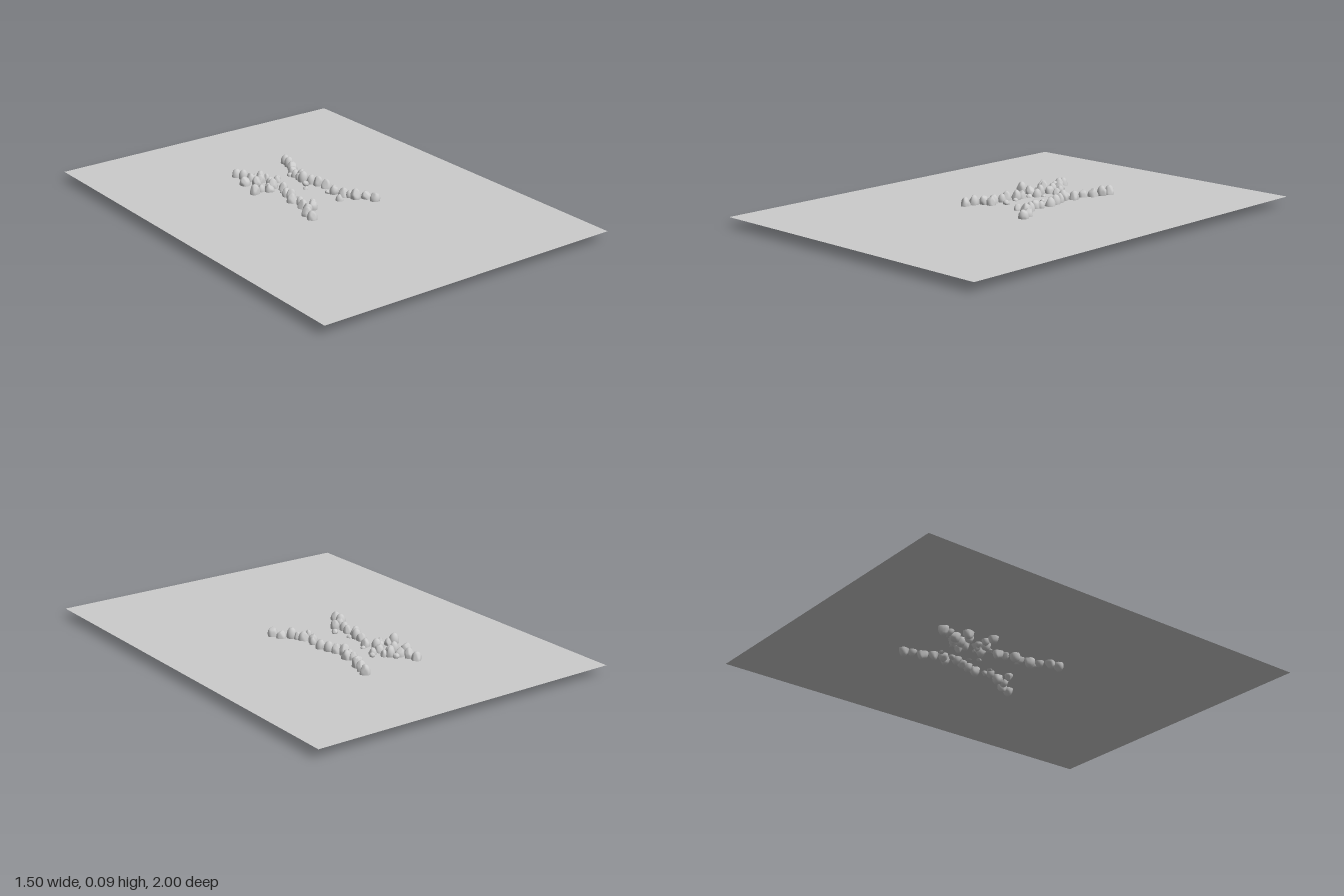
import * as THREE from 'three';
import { mergeVertices } from 'three/addons/utils/BufferGeometryUtils.js';

// [x, z, radius] of every stone, seen from above
const leftRow = [
  [.135, -.48, .022], [.125, -.44, .021], [.11, -.395, .023], [.085, -.355, .02], [.055, -.335, .013],
  [.07, -.315, .02], [.09, -.29, .022], [.065, -.245, .023], [.06, -.275, .015], [.04, -.195, .014],
  [.015, -.16, .011], [.08, -.205, .021], [.09, -.165, .022], [.10, -.12, .023], [.065, -.06, .012],
  [.085, -.04, .02], [.10, -.06, .015], [.10, .01, .023], [.115, .035, .016], [.125, .065, .022],
  [.165, .09, .021], [.18, .135, .022], [.055, .04, .017],
];
const rightRow = [
  [-.145, -.475, .022], [-.135, -.435, .02], [-.12, -.395, .023], [-.09, -.405, .014], [-.08, -.375, .02],
  [-.06, -.36, .016], [-.10, -.35, .022], [-.135, -.33, .02], [-.175, -.365, .023], [-.075, -.305, .02],
  [-.035, -.31, .018], [-.015, -.335, .012], [-.20, -.25, .022], [-.16, -.26, .017], [-.13, -.235, .021],
  [-.115, -.265, .015], [-.095, -.26, .021], [-.07, -.215, .021], [-.045, -.23, .011], [-.09, -.185, .014],
  [-.10, -.145, .022], [-.08, -.085, .012], [-.10, -.11, .021], [-.125, -.07, .023], [-.11, -.03, .018],
  [-.125, .01, .023], [-.10, .05, .02], [-.135, .06, .02], [-.165, .095, .022], [-.17, .14, .022],
  [-.06, -.005, .014],
];

const material = new THREE.MeshStandardMaterial({ color: 0xcccccc, roughness: 0.9 });

function seeded(seed) {
  let s = seed;
  return () => (s = (s * 16807) % 2147483647) / 2147483647;
}

// a lumpy stone: a sphere with a few random shallow facets cut into it
function stoneGeometry(random) {
  let g = new THREE.IcosahedronGeometry(1, 4);
  g.deleteAttribute('normal');
  g.deleteAttribute('uv');
  g = mergeVertices(g, 1e-4);
  const cuts = Array.from({ length: 9 }, () => ({
    n: new THREE.Vector3(random() - .5, random() - .5, random() - .5).normalize(),
    d: .76 + random() * .18,
  }));
  const p = g.attributes.position, v = new THREE.Vector3();
  for (let i = 0; i < p.count; i++) {
    v.fromBufferAttribute(p, i);
    for (const { n, d } of cuts) {
      const over = v.dot(n) - d;
      if (over > 0) v.addScaledVector(n, -over * .85);
    }
    p.setXYZ(i, v.x, v.y, v.z);
  }
  g.computeVertexNormals();
  return g;
}

export function createModel() {
  const model = new THREE.Group();
  const random = seeded(4711);
  const shapes = Array.from({ length: 6 }, () => stoneGeometry(random));

  // thin ground sheet passing through the stones
  const sheetMaterial = material.clone();
  sheetMaterial.side = THREE.DoubleSide;
  const sheet = new THREE.Mesh(new THREE.PlaneGeometry(1.5, 2), sheetMaterial);
  sheet.name = 'groundSheet';
  sheet.rotation.x = -Math.PI / 2;
  sheet.position.y = .05;
  model.add(sheet);

  // two winding rows of upright stones; pebbles stay low
  for (const [name, row] of [['leftStoneRow', leftRow], ['rightStoneRow', rightRow]]) {
    const group = new THREE.Group();
    group.name = name;
    row.forEach(([x, z, r], i) => {
      const stone = new THREE.Mesh(shapes[i % shapes.length], material);
      stone.name = r < .015 ? 'pebble' : 'stone';
      const halfHeight = r < .015 ? r : r * 1.75;
      stone.scale.set(r * 1.08, halfHeight, r * 1.08);
      stone.rotation.y = random() * Math.PI * 2;
      stone.position.set(x, .054 + (random() - .5) * .012, z);
      group.add(stone);
    });
    model.add(group);
  }

  // rest the lowest stone on y = 0
  model.updateMatrixWorld(true);
  const low = new THREE.Box3().setFromObject(model, true).min.y;
  model.children.forEach((part) => { part.position.y -= low; });
  return model;
}
